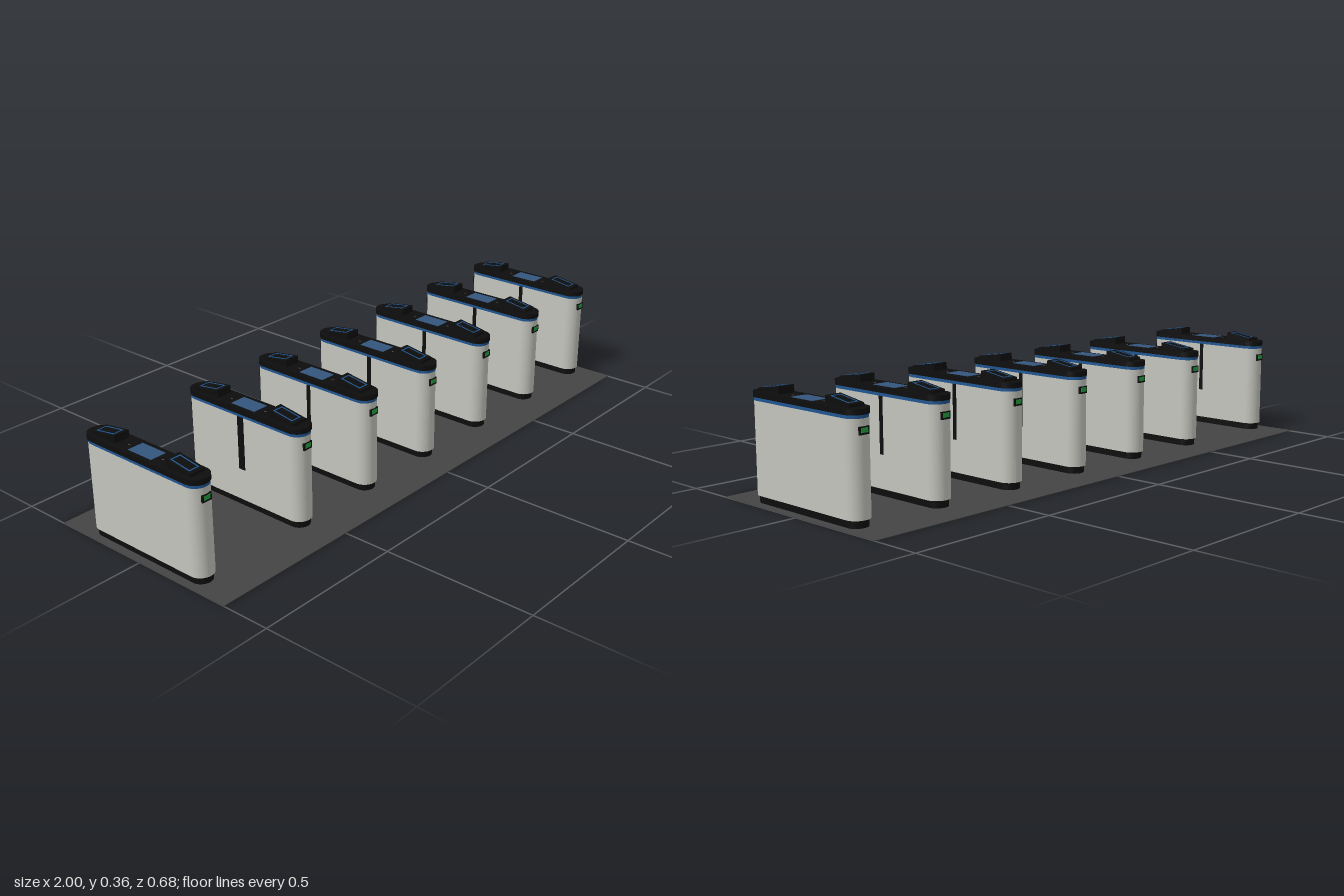
import * as THREE from 'three';

const mat = (name, color) => {
  const m = new THREE.MeshStandardMaterial({ color });
  m.name = name;
  return m;
};

const add = (parent, name, geometry, material, x = 0, y = 0, z = 0) => {
  const mesh = new THREE.Mesh(geometry, material);
  mesh.name = name;
  mesh.position.set(x, y, z);
  parent.add(mesh);
  return mesh;
};

// Upright prism with a stadium-shaped plan, from y0 to y1
function stadium(radius, halfLength, y0, y1) {
  const s = new THREE.Shape();
  const c = halfLength - radius;
  s.absarc(0, c, radius, 0, Math.PI, false);
  s.absarc(0, -c, radius, Math.PI, Math.PI * 2, false);
  s.closePath();
  const g = new THREE.ExtrudeGeometry(s, { depth: y1 - y0, bevelEnabled: false, curveSegments: 12 });
  return g.rotateX(-Math.PI / 2).translate(0, y0, 0);
}

// Sloped reader housing, profile in z and y
function readerWedge() {
  const s = new THREE.Shape([[0.105, 0.33], [0.205, 0.33], [0.205, 0.341], [0.105, 0.356]]
    .map(p => new THREE.Vector2(...p)));
  const g = new THREE.ExtrudeGeometry(s, { depth: 0.054, bevelEnabled: false });
  return g.translate(0, 0, -0.027).rotateY(-Math.PI / 2);
}

// Thin rectangular outline lying on the reader slope
function readerFrame() {
  const rect = (Type, w, h) => new Type([[-w, -h], [w, -h], [w, h], [-w, h]]
    .map(p => new THREE.Vector2(...p)));
  const s = rect(THREE.Shape, 0.0185, 0.038);
  s.holes.push(rect(THREE.Path, 0.0145, 0.034));
  const g = new THREE.ExtrudeGeometry(s, { depth: 0.001, bevelEnabled: false });
  return g.rotateX(-Math.PI / 2 + Math.atan(0.15)).translate(0, 0.3486, 0.155);
}

export function createModel() {
  const model = new THREE.Group();
  model.name = 'ticketGates';
  const black = mat('black', 0x0d0d0d);
  const steel = mat('brushed steel', 0xc4c4bd);
  const blue = mat('trim blue', 0x1f5590);
  const panelBlue = mat('panel blue', 0x34557c);
  const green = mat('signal green', 0x22a040);
  const grey = mat('floor grey', 0x444444);

  add(model, 'floor', new THREE.BoxGeometry(2, 0.002, 0.684), grey, 0, 0.001, 0);

  const geo = {
    plinth: stadium(0.033, 0.229, 0, 0.025),
    body: stadium(0.039, 0.235, 0.025, 0.305),
    band: stadium(0.039, 0.235, 0.305, 0.315),
    cap: stadium(0.0415, 0.2375, 0.315, 0.332),
    panel: new THREE.BoxGeometry(0.054, 0.0015, 0.096),
    wedge: readerWedge(),
    frame: readerFrame(),
    sensor: new THREE.SphereGeometry(0.007, 12, 6, 0, Math.PI * 2, 0, Math.PI / 2).scale(1, 0.43, 1),
    bezel: new THREE.BoxGeometry(0.034, 0.023, 0.016),
    signal: new THREE.BoxGeometry(0.024, 0.014, 0.001),
  };

  const xs = [-0.943, -0.543, -0.243, 0.052, 0.348, 0.644, 0.94];
  xs.forEach((x, i) => {
    const cabinet = new THREE.Group();
    cabinet.name = `cabinet${i + 1}`;
    cabinet.position.x = x;
    model.add(cabinet);

    add(cabinet, 'plinth', geo.plinth, black);
    add(cabinet, 'body', geo.body, steel);
    add(cabinet, 'trimBand', geo.band, blue);
    add(cabinet, 'topCap', geo.cap, black);
    add(cabinet, 'topPanel', geo.panel, panelBlue, 0, 0.3325, 0);

    // Reader, sensor and signal at each end
    for (const turn of [0, Math.PI]) {
      const end = new THREE.Group();
      end.name = turn ? 'backEnd' : 'frontEnd';
      end.rotation.y = turn;
      cabinet.add(end);
      add(end, 'reader', geo.wedge, black);
      add(end, 'readerFrame', geo.frame, blue);
      add(end, 'sensor', geo.sensor, black, 0, 0.332, 0.07);
      add(end, 'signalBezel', geo.bezel, black, 0, 0.272, 0.2285);
      add(end, 'signalLight', geo.signal, green, 0, 0.273, 0.2368);
    }

    // Barrier slots only on sides that face a lane
    for (const side of [-1, 1]) {
      if (i + side < 0 || i + side >= xs.length) continue;
      const width = i === 1 && side < 0 ? 0.024 : 0.014;
      add(cabinet, 'barrierSlot', new THREE.BoxGeometry(0.003, 0.175, width), black, side * 0.0395, 0.2175, 0);
    }
  });
  return model;
}
